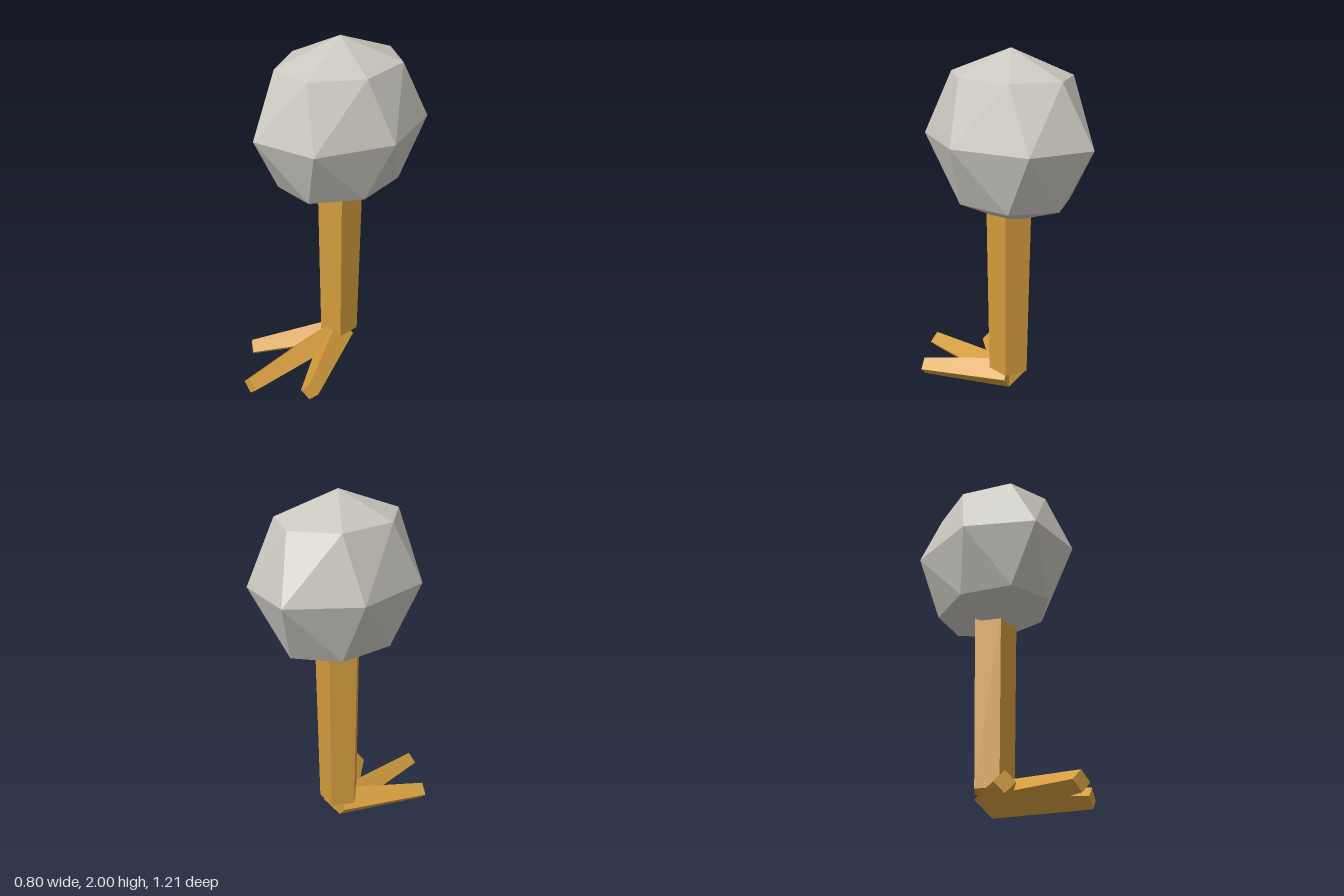
import * as THREE from 'three';
import { ConvexGeometry } from 'three/addons/geometries/ConvexGeometry.js';

const CX = -0.02, CZ = -0.09; // shared vertical axis of body, leg and toes

// Faceted ellipsoid: three rings of seven points and two poles
function bodyGeometry() {
  const rx = 0.42, ry = 0.475, rz = 0.528, n = 7;
  const points = [new THREE.Vector3(0, ry, 0), new THREE.Vector3(0, -ry, 0)];
  for (const lat of [45, 0, -45]) {
    const phi = THREE.MathUtils.degToRad(lat);
    const twist = lat === 0 ? 0 : Math.PI / 14; // outer rings are a quarter step round
    for (let i = 0; i < n; i++) {
      const a = (i / n) * Math.PI * 2 + twist;
      points.push(new THREE.Vector3(
        rx * Math.cos(phi) * Math.cos(a), ry * Math.sin(phi), rz * Math.cos(phi) * Math.sin(a)));
    }
  }
  return new ConvexGeometry(points);
}

// Tapered four-sided toe along +z, with its lower edge resting on the ground
function toeGeometry(length) {
  const back = 0.097, front = 0.054;
  const geo = new THREE.CylinderGeometry(front, back, length, 4);
  geo.rotateX(Math.PI / 2).translate(0, 0, length / 2);
  const pos = geo.attributes.position;
  for (let i = 0; i < pos.count; i++) {
    const r = THREE.MathUtils.lerp(back, front, pos.getZ(i) / length);
    pos.setY(i, pos.getY(i) + r);
  }
  geo.computeVertexNormals();
  return geo;
}

export function createModel() {
  const model = new THREE.Group();
  const grey = new THREE.MeshStandardMaterial({ color: 0xcbc8c0, flatShading: true });
  grey.name = 'stone grey';
  const orange = new THREE.MeshStandardMaterial({ color: 0xd49c3e, flatShading: true });
  orange.name = 'leg orange';

  const add = (name, geometry, material, y) => {
    const mesh = new THREE.Mesh(geometry, material);
    mesh.name = name;
    mesh.position.set(CX, y, CZ);
    model.add(mesh);
    return mesh;
  };

  add('body', bodyGeometry(), grey, 1.525);

  // Five-sided leg with one edge towards -x
  const bottom = 0.14, top = 1.15;
  add('leg', new THREE.CylinderGeometry(0.132, 0.117, top - bottom, 5, 1, false, -Math.PI / 2),
    orange, (top + bottom) / 2);

  // Three toes fanned to the front
  for (const [name, length, angle] of [
    ['middleToe', 0.695, 0], ['leftToe', 0.545, Math.PI / 6], ['rightToe', 0.545, -Math.PI / 6]]) {
    add(name, toeGeometry(length), orange, 0).rotation.y = angle;
  }
  return model;
}
